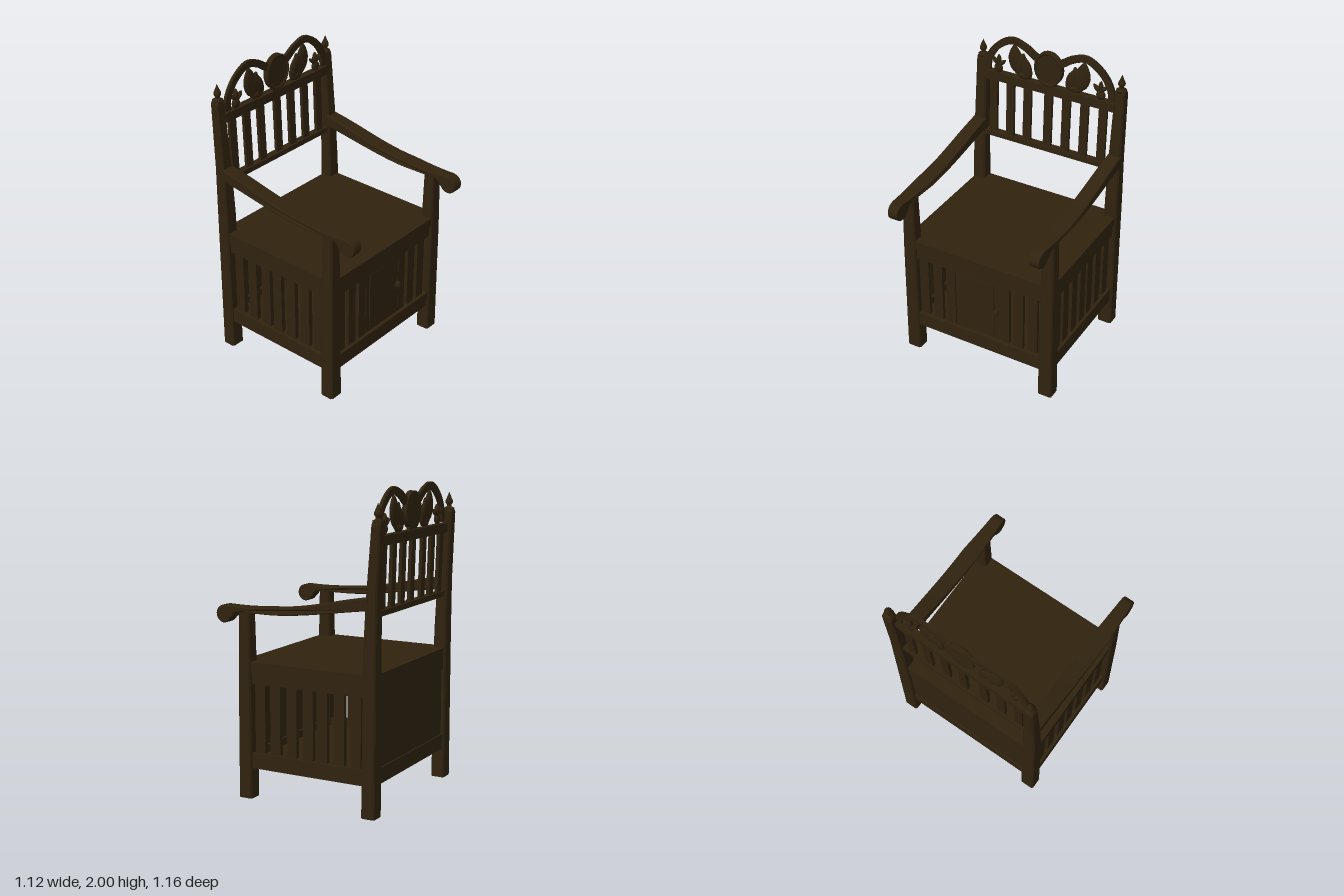
import * as THREE from 'three';
import { mergeVertices } from 'three/addons/utils/BufferGeometryUtils.js';

const wood = new THREE.MeshStandardMaterial({ color: 0x30230f });
wood.name = 'dark oak';

export function createModel() {
  const chair = new THREE.Group();
  chair.name = 'chair';

  const add = (name, geometry, x = 0, y = 0, z = 0) => {
    const mesh = new THREE.Mesh(geometry, wood);
    mesh.name = name;
    mesh.position.set(x, y, z);
    chair.add(mesh);
    return mesh;
  };
  // Box given by its limits on each axis
  const box = (name, [x0, x1], [y0, y1], [z0, z1]) =>
    add(name, new THREE.BoxGeometry(x1 - x0, y1 - y0, z1 - z0), (x0 + x1) / 2, (y0 + y1) / 2, (z0 + z1) / 2);

  // Post with chamfered corners; each section is [y, xInner, xOuter, zBack, zFront]
  const postGeometry = (sections, side) => {
    const c = 0.01, pos = [], index = [];
    for (const [y, xi, xo, z0, z1] of sections) {
      const [a, b] = side > 0 ? [xi, xo] : [-xo, -xi];
      [[a + c, z1], [b - c, z1], [b, z1 - c], [b, z0 + c], [b - c, z0], [a + c, z0], [a, z0 + c], [a, z1 - c]]
        .forEach(([x, z]) => pos.push(x, y, z));
    }
    for (let s = 0; s < sections.length - 1; s++) for (let i = 0; i < 8; i++) {
      const p = s * 8 + i, q = s * 8 + (i + 1) % 8;
      index.push(p, q, q + 8, p, q + 8, p + 8);
    }
    const top = (sections.length - 1) * 8;
    for (let i = 1; i < 7; i++) index.push(0, i + 1, i, top, top + i, top + i + 1);
    const g = new THREE.BufferGeometry();
    g.setAttribute('position', new THREE.Float32BufferAttribute(pos, 3));
    g.setIndex(index);
    const flat = g.toNonIndexed();
    flat.computeVertexNormals();
    return flat;
  };

  // Arm outline in (z, y), with a scroll at the front
  const arm = new THREE.Shape();
  arm.moveTo(-0.5, 1.355);
  arm.bezierCurveTo(-0.25, 1.32, -0.05, 1.25, 0.2, 1.245);
  arm.lineTo(0.4, 1.235);
  arm.lineTo(0.53, 1.24);
  arm.absarc(0.528, 1.183, 0.057, Math.PI / 2, -Math.PI * 0.72, true);
  arm.absarc(0.528, 1.183, 0.057, -Math.PI * 0.72, -Math.PI * 0.28, false);
  arm.bezierCurveTo(0.46, 1.15, 0.46, 1.2, 0.4, 1.2);
  arm.lineTo(0.2, 1.2);
  arm.bezierCurveTo(0.0, 1.2, -0.25, 1.25, -0.5, 1.28);
  // Simple closed outline: sample a top edge, the scroll arc, then the underside
  const outline = [];
  const edge = (pts) => new THREE.CubicBezierCurve(...pts.map(p => new THREE.Vector2(...p))).getPoints(12);
  outline.push(...edge([[-0.5, 1.358], [-0.25, 1.325], [-0.05, 1.25], [0.2, 1.245]]));
  outline.push(...edge([[0.22, 1.243], [0.32, 1.235], [0.42, 1.235], [0.51, 1.24]]));
  for (let i = 0; i <= 14; i++) {
    const t = Math.PI / 2 - i / 14 * Math.PI * 1.35;
    outline.push(new THREE.Vector2(0.527 + 0.056 * Math.cos(t), 1.182 + 0.057 * Math.sin(t)));
  }
  outline.push(...edge([[0.46, 1.17], [0.45, 1.2], [0.43, 1.202], [0.4, 1.202]]));
  outline.push(...edge([[0.2, 1.202], [0.0, 1.2], [-0.25, 1.25], [-0.5, 1.282]]));
  const armGeometry = (side) => {
    const g = new THREE.ExtrudeGeometry(new THREE.Shape(outline), {
      depth: 0.084, bevelEnabled: true, bevelThickness: 0.008, bevelSize: 0.006, bevelOffset: -0.006, bevelSegments: 2 });
    g.translate(0, 0, -0.042);
    g.rotateY(-Math.PI / 2);
    // Widen the middle and narrow the scroll
    const p = g.attributes.position;
    for (let i = 0; i < p.count; i++) {
      const z = p.getZ(i);
      const w = z < 0.25 ? 0.92 + 0.18 * (z + 0.5) / 0.75 : 1.1 - 0.38 * (z - 0.25) / 0.33;
      p.setX(i, p.getX(i) * w + side * 0.505);
    }
    g.computeVertexNormals();
    return g;
  };

  const finial = new THREE.LatheGeometry([[0, 0], [0.032, 0], [0.034, 0.015], [0.016, 0.025], [0.014, 0.035],
    [0.024, 0.05], [0.024, 0.062], [0.012, 0.09], [0, 0.12]].map(p => new THREE.Vector2(...p)), 12);

  for (const s of [1, -1]) {
    const label = s > 0 ? 'left' : 'right';
    add(label + 'FrontLeg', postGeometry([[0, 0.457, 0.557, 0.325, 0.42], [0.8, 0.46, 0.553, 0.328, 0.418],
      [1.21, 0.466, 0.548, 0.335, 0.412]], s));
    add(label + 'BackPost', postGeometry([[0, 0.457, 0.557, -0.556, -0.463], [1.0, 0.461, 0.553, -0.556, -0.468],
      [1.35, 0.464, 0.547, -0.56, -0.484], [1.79, 0.469, 0.541, -0.578, -0.515], [1.81, 0.475, 0.535, -0.573, -0.52]], s));
    add(label + 'Finial', finial, s * 0.505, 1.8, -0.545);
    add(label + 'Arm', armGeometry(s));

    // Slatted side
    const span = (a, b) => s > 0 ? [a, b] : [-b, -a];
    box(label + 'LowerRail', span(0.47, 0.54), [0.2, 0.3], [-0.5, 0.37]);
    box(label + 'UpperRail', span(0.475, 0.532), [0.75, 0.83], [-0.5, 0.37]);
    for (const z of [0.275, 0.165, 0.045, -0.072, -0.172, -0.292, -0.408])
      box(label + 'SideSlat', span(0.49, 0.52), [0.29, 0.76], [z - 0.036, z + 0.036]);
  }

  // Seat and cabinet
  box('seat', [-0.54, 0.54], [0.83, 0.89], [-0.5, 0.37]);
  box('seatFrontEdge', [-0.47, 0.47], [0.83, 0.89], [0.36, 0.412]);
  box('seatBackEdge', [-0.47, 0.47], [0.83, 0.89], [-0.54, -0.49]);
  box('frontUpperRail', [-0.47, 0.47], [0.75, 0.83], [0.35, 0.4]);
  box('frontLowerRail', [-0.47, 0.47], [0.2, 0.3], [0.34, 0.408]);
  box('floorPanel', [-0.48, 0.48], [0.22, 0.25], [-0.5, 0.35]);
  box('backPanel', [-0.47, 0.47], [0.28, 0.77], [-0.53, -0.51]);
  box('backUpperRail', [-0.47, 0.47], [0.75, 0.83], [-0.54, -0.49]);
  box('backLowerRail', [-0.47, 0.47], [0.2, 0.3], [-0.54, -0.49]);
  for (const x of [-0.42, -0.315, -0.215, 0.19, 0.292, 0.395])
    box('frontSlat', [x - 0.034, x + 0.034], [0.29, 0.76], [0.36, 0.385]);
  box('doorFrame', [-0.175, 0.155], [0.29, 0.76], [0.355, 0.383]);
  box('door', [-0.142, 0.113], [0.325, 0.737], [0.375, 0.39]);
  add('doorKnob', new THREE.SphereGeometry(0.02, 14, 10), 0.137, 0.53, 0.4).scale.y = 1.3;

  // Slatted backrest, leaning slightly
  box('backTopRail', [-0.48, 0.48], [1.66, 1.72], [-0.552, -0.502]);
  box('backBottomRail', [-0.48, 0.48], [1.237, 1.272], [-0.54, -0.49]);
  for (const x of [-0.411, -0.283, -0.155, 0, 0.132, 0.264, 0.396]) {
    const slat = add('backSlat', new THREE.BoxGeometry(0.057, 0.42, 0.022), x, 1.465, -0.521);
    slat.rotation.x = -0.03;
  }

  // Crest: curved band over each half, joined by the medallion
  const ridge = new THREE.CatmullRomCurve3([[-0.455, 1.73], [-0.447, 1.8], [-0.385, 1.905], [-0.27, 1.976],
    [-0.17, 1.95], [-0.09, 1.9], [0, 1.88]].map(([x, y]) => new THREE.Vector3(x, y, 0)));
  const n = 32, upper = [], lower = [];
  for (let i = 0; i <= n; i++) {
    const p = ridge.getPoint(i / n), t = ridge.getTangent(i / n), h = 0.023 + 0.012 * Math.max(0, i / n - 0.6);
    upper.push(new THREE.Vector2(p.x - t.y * h, p.y + t.x * h));
    lower.unshift(new THREE.Vector2(p.x + t.y * h, p.y - t.x * h));
  }
  const band = [...upper, ...lower];
  const bandMirror = band.map(p => new THREE.Vector2(-p.x, p.y));
  for (const pts of [band, bandMirror])
    add('crestBand', new THREE.ExtrudeGeometry(new THREE.Shape(pts), { depth: 0.022, bevelEnabled: false }), 0, 0, -0.53);

  const plate = (r, depth) => new THREE.CylinderGeometry(r, r, depth, 40).rotateX(Math.PI / 2).scale(1, 1.17, 1);
  add('medallion', plate(0.102, 0.03), 0, 1.84, -0.522);
  add('medallionRim', new THREE.TorusGeometry(0.094, 0.009, 8, 40).scale(1, 1.18, 1), 0, 1.84, -0.508);
  box('medallionFoot', [-0.05, 0.05], [1.71, 1.76], [-0.533, -0.508]);

  // Pointed, gently domed leaf: a sphere narrowed toward its tip
  const leaf = new THREE.SphereGeometry(1, 16, 14);
  const lp = leaf.attributes.position;
  for (let i = 0; i < lp.count; i++) {
    const y = lp.getY(i), k = 1 - 0.5 * Math.max(0, y) ** 1.5;
    lp.setX(i, lp.getX(i) * k);
  }
  leaf.deleteAttribute('uv');
  leaf.deleteAttribute('normal');
  const leafGeometry = mergeVertices(leaf, 1e-4);
  leafGeometry.computeVertexNormals();
  const addLeaf = (name, x, y, w, h, tilt) => {
    for (const s of [1, -1]) {
      const m = add(name, leafGeometry, s * x, y, -0.52);
      m.scale.set(w, h, 0.018);
      m.rotation.z = s * tilt;
    }
  };
  addLeaf('largeLeaf', 0.245, 1.85, 0.055, 0.1, -0.1);
  addLeaf('largeLeafFold', 0.21, 1.82, 0.045, 0.085, 0.3);
  addLeaf('innerLeaf', 0.172, 1.81, 0.042, 0.09, -0.35);
  addLeaf('leafBase', 0.185, 1.745, 0.05, 0.028, 0);
  // Small corner flowers
  addLeaf('flowerPetal', 0.372, 1.805, 0.018, 0.045, 0);
  addLeaf('flowerPetal', 0.345, 1.795, 0.014, 0.034, 0.8);
  addLeaf('flowerPetal', 0.397, 1.8, 0.014, 0.034, -0.8);
  addLeaf('flowerBase', 0.375, 1.755, 0.032, 0.038, 0);

  return chair;
}
